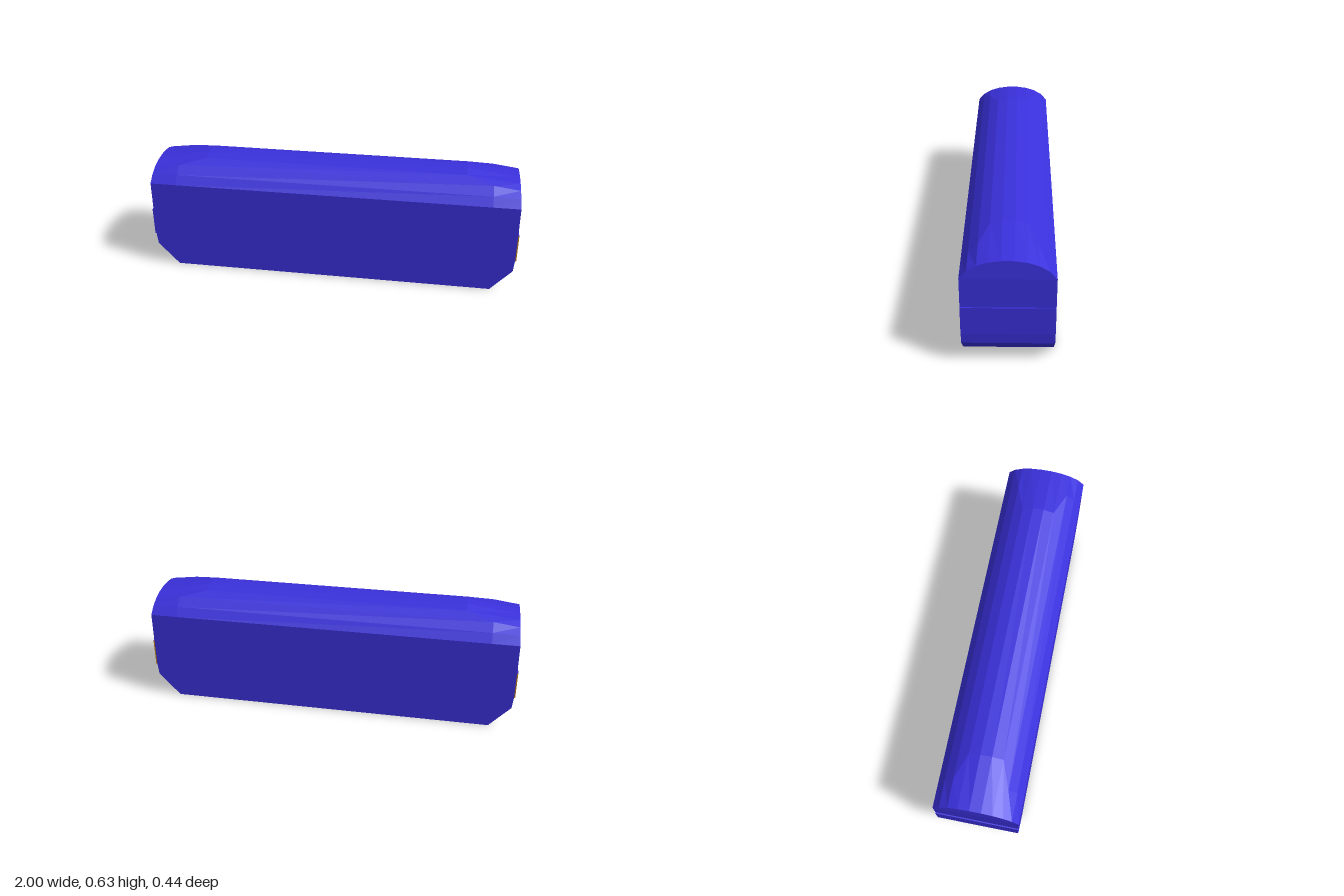
import * as THREE from 'three';

const blue = new THREE.MeshStandardMaterial({ color: 0x3a30dc, flatShading: true });
const red = new THREE.MeshStandardMaterial({ color: 0xa8281a });
const orange = new THREE.MeshStandardMaterial({ color: 0xc08020 });

const HALF_DEPTH = 0.22;
const EAVES = 0.5;
const END = 0.994;

function add(group, name, geometry, material) {
  const mesh = new THREE.Mesh(geometry, material);
  mesh.name = name;
  group.add(mesh);
  return mesh;
}

// Straight lower body: one side outline extruded across the depth
function bodyGeometry() {
  const half = [[0.875, 0.001], [0.988, 0.125], [END, 0.19], [END, 0.34], [0.993, EAVES]];
  const outline = [...half, ...half.map(([x, y]) => [-x, y]).reverse()];
  const shape = new THREE.Shape(outline.map(([x, y]) => new THREE.Vector2(x, y)));
  const geometry = new THREE.ExtrudeGeometry(shape, { depth: 2 * HALF_DEPTH, bevelEnabled: false });
  return geometry.translate(0, 0, -HALF_DEPTH);
}

// Faceted arched roof that dips towards both ends, with its end walls
function roofGeometry() {
  // z, height in the middle, height at the ends, x where the dip begins
  const front = [
    [0.22, 0, 0, 0.85],
    [0.185, 0.045, 0.04, 0.85],
    [0.14, 0.085, 0.067, 0.85],
    [0.088, 0.113, 0.084, 0.71],
    [0.03, 0.127, 0.092, 0.71],
  ];
  const arch = [...front, ...front.map(([z, ...rest]) => [-z, ...rest]).reverse()];
  const rows = arch.map(([z, mid, low, dip]) => {
    const end = 0.993 - 0.07 * low;
    return [
      [-end, EAVES + low, z],
      [-dip, EAVES + mid, z],
      [dip, EAVES + mid, z],
      [end, EAVES + low, z],
    ];
  });
  const positions = [];
  const tri = (...points) => points.forEach((p) => positions.push(...p));
  for (let i = 0; i < rows.length - 1; i++) {
    const a = rows[i];
    const b = rows[i + 1];
    for (let j = 0; j < 3; j++) {
      tri(a[j], a[j + 1], b[j + 1]);
      tri(a[j], b[j + 1], b[j]);
    }
    // End walls as fans from the front corner
    if (i > 0) {
      tri(rows[0][0], a[0], b[0]);
      tri(rows[0][3], b[3], a[3]);
    }
  }
  const geometry = new THREE.BufferGeometry();
  geometry.setAttribute('position', new THREE.Float32BufferAttribute(positions, 3));
  geometry.computeVertexNormals();
  return geometry;
}

export function createModel() {
  const model = new THREE.Group();
  model.name = 'archedBody';

  add(model, 'lowerBody', bodyGeometry(), blue);
  add(model, 'archedRoof', roofGeometry(), blue);

  // Flat red underside
  const floor = new THREE.PlaneGeometry(1.75, 2 * HALF_DEPTH).rotateX(Math.PI / 2);
  add(model, 'underside', floor, red);

  // Slightly raised band across each end, with orange edges
  for (const side of [1, -1]) {
    const band = new THREE.BoxGeometry(0.007, 0.152, 2 * HALF_DEPTH);
    const frontEdge = side > 0 ? orange : blue;
    const mesh = add(model, side > 0 ? 'leftEndBand' : 'rightEndBand', band,
      [blue, blue, blue, blue, frontEdge, orange]);
    mesh.position.set(side * 0.9965, 0.265, 0);
  }

  return model;
}
